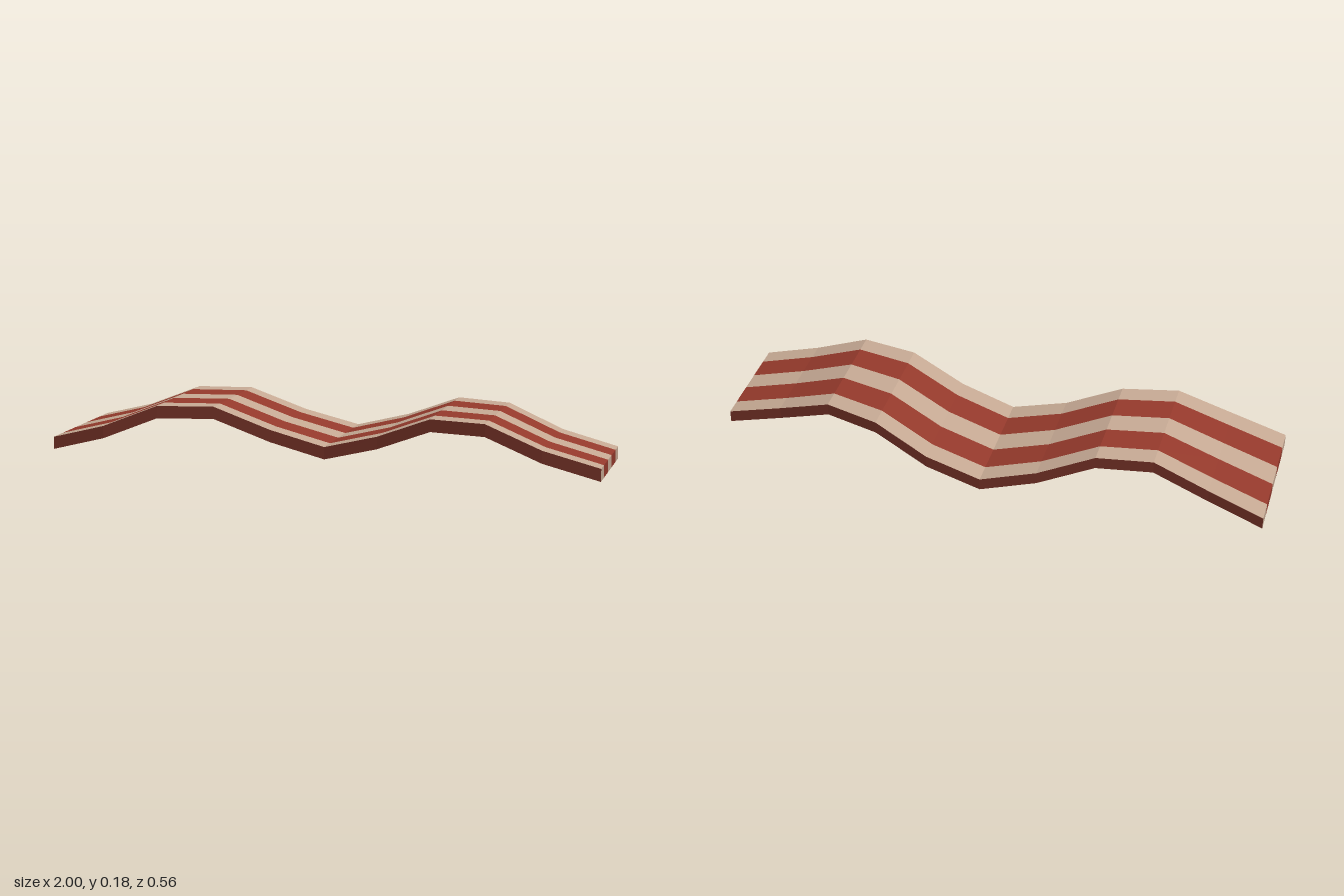
import * as THREE from 'three';

// Cross-sections along x: underside height, back edge z, front edge z
const sections = [
  [0, -0.211, 0.272], [0.053, -0.182, 0.279], [0.133, -0.177, 0.253],
  [0.133, -0.209, 0.208], [0.053, -0.252, 0.171], [0, -0.279, 0.16],
  [0.053, -0.271, 0.178], [0.133, -0.231, 0.212], [0.133, -0.178, 0.242],
  [0.053, -0.15, 0.245], [0, -0.156, 0.231],
];
const THICKNESS = 0.045;
const STRIPES = [0, 0.16, 0.395, 0.6, 0.837, 1]; // fractions from front to back
const LAST = sections.length - 1;

// Point on section i, at fraction t from front to back, on the top or underside
function point(i, t, top) {
  const [y, back, front] = sections[i];
  return [-1 + (2 * i) / LAST, y + (top ? THICKNESS : 0), front + (back - front) * t];
}

// Flat-shaded geometry from counter-clockwise quads
function quadGeometry(quads) {
  const positions = quads.flatMap(([a, b, c, d]) => [a, b, c, a, c, d]).flat();
  const geometry = new THREE.BufferGeometry();
  geometry.setAttribute('position', new THREE.Float32BufferAttribute(positions, 3));
  geometry.computeVertexNormals();
  return geometry;
}

// Lengthwise stripe: top, underside and both end caps
function stripeGeometry(f, b) {
  const quads = [];
  for (let i = 0; i < LAST; i++) {
    quads.push([point(i, f, true), point(i + 1, f, true), point(i + 1, b, true), point(i, b, true)]);
    quads.push([point(i, b, false), point(i + 1, b, false), point(i + 1, f, false), point(i, f, false)]);
  }
  quads.push([point(LAST, f, false), point(LAST, b, false), point(LAST, b, true), point(LAST, f, true)]);
  quads.push([point(0, b, false), point(0, f, false), point(0, f, true), point(0, b, true)]);
  return quadGeometry(quads);
}

// Long side wall at the front (t = 0) or back (t = 1)
function rimGeometry(t) {
  const quads = [];
  for (let i = 0; i < LAST; i++) {
    const quad = [point(i, t, false), point(i + 1, t, false), point(i + 1, t, true), point(i, t, true)];
    quads.push(t === 0 ? quad : quad.reverse());
  }
  return quadGeometry(quads);
}

export function createModel() {
  const material = (name, color) => new THREE.MeshStandardMaterial({ name, color });
  const fat = material('fat', 0xc8ab95);
  const meat = material('meat', 0x963a2c);
  const rind = material('rind', 0x672b21);

  const group = new THREE.Group();
  group.name = 'baconStrip';
  const add = (name, geometry, mat) => {
    const mesh = new THREE.Mesh(geometry, mat);
    mesh.name = name;
    group.add(mesh);
  };

  // Alternating fat and meat
  for (let s = 0; s < STRIPES.length - 1; s++) {
    const isMeat = s % 2 === 1;
    add((isMeat ? 'meatStripe' : 'fatStripe') + (s + 1), stripeGeometry(STRIPES[s], STRIPES[s + 1]), isMeat ? meat : fat);
  }

  // Dark long edges
  add('frontRim', rimGeometry(0), rind);
  add('backRim', rimGeometry(1), rind);
  return group;
}
